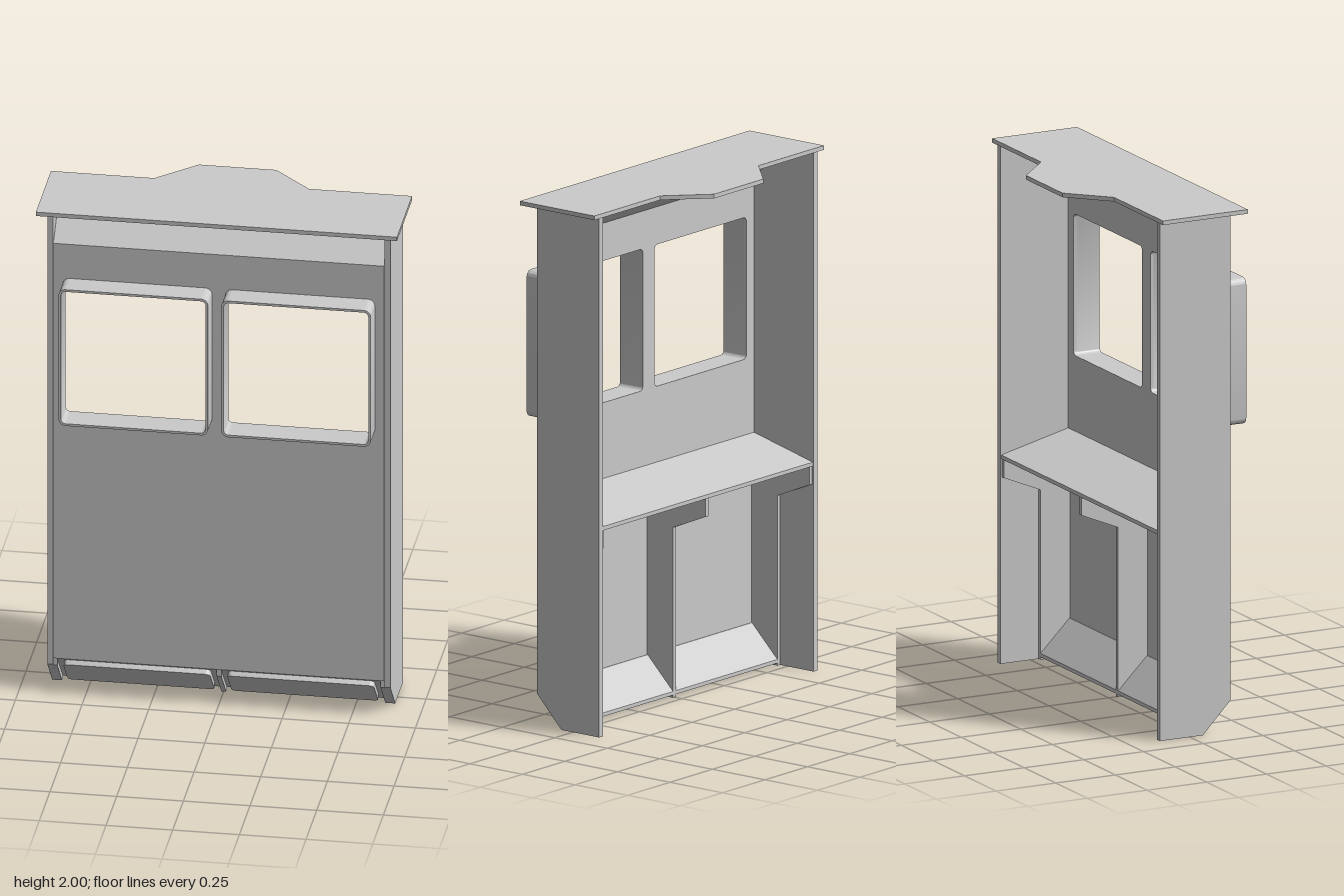
import * as THREE from 'three';
import { toCreasedNormals } from 'three/addons/utils/BufferGeometryUtils.js';

const material = new THREE.MeshStandardMaterial({ color: 0xcccccc });

function polygon(points) {
  return new THREE.Shape(points.map(([a, b]) => new THREE.Vector2(a, b)));
}

function roundedRect(target, cx, cy, w, h, r) {
  const x = w / 2 - r, y = h / 2 - r;
  target.absarc(cx + x, cy + y, r, 0, Math.PI / 2);
  target.absarc(cx - x, cy + y, r, Math.PI / 2, Math.PI);
  target.absarc(cx - x, cy - y, r, Math.PI, Math.PI * 1.5);
  target.absarc(cx + x, cy - y, r, Math.PI * 1.5, Math.PI * 2);
  target.closePath();
  return target;
}

function extrude(shape, depth) {
  return new THREE.ExtrudeGeometry(shape, { depth, bevelEnabled: false, curveSegments: 6 });
}

export function createModel() {
  const model = new THREE.Group();

  const add = (name, geometry) => {
    const mesh = new THREE.Mesh(geometry, material);
    mesh.name = name;
    model.add(mesh);
    return mesh;
  };

  // A (z, y) profile swept along x, centred on cx
  const slab = (name, points, cx, width) => {
    const geometry = extrude(polygon(points), width);
    geometry.rotateY(-Math.PI / 2);
    geometry.translate(cx + width / 2, 0, 0);
    return add(name, geometry);
  };

  const winX = 0.305, winY = 1.43, winW = 0.56, winH = 0.56, wall = 0.009;

  // Front panel with two window openings
  const panel = polygon([[-0.62, 0.145], [0.62, 0.145], [0.62, 1.85], [-0.62, 1.85]]);
  for (const s of [-1, 1]) {
    panel.holes.push(roundedRect(new THREE.Path(), s * winX, winY, winW - 2 * wall, winH - 2 * wall, 0.018));
  }
  const panelGeometry = extrude(panel, 0.012);
  panelGeometry.translate(0, 0, 0.158);
  add('frontPanel', panelGeometry);

  // Sloping panel between the front and the top
  slab('upperSlope', [[0.17, 1.85], [0.035, 1.985], [0.018, 1.985], [0.158, 1.845]], 0, 1.24);

  // Top board with a stepped-out rear edge
  const top = extrude(polygon([
    [-0.677, -0.225], [0.677, -0.225], [0.677, 0.13], [0.29, 0.13],
    [0.145, 0.27], [-0.145, 0.27], [-0.29, 0.13], [-0.677, 0.13],
  ]), 0.016);
  top.rotateX(-Math.PI / 2);
  top.translate(0, 1.984, 0);
  add('topBoard', top);

  // Tilted shelf
  slab('shelf', [[-0.122, 0.785], [0.16, 0.855], [0.16, 0.87], [-0.122, 0.8]], 0, 1.24);

  // Upright brackets under the shelf
  const bracket = [
    [-0.118, 0.787], [-0.118, 0.715], [0.035, 0.65], [0.035, 0],
    [0.055, 0], [0.165, 0.115], [0.165, 0.15], [0.158, 0.15], [0.158, 0.855],
  ];
  slab('middleBracket', bracket, 0, 0.018);

  for (const s of [-1, 1]) {
    const side = s > 0 ? 'left' : 'right';

    // Side wall with the lower front corner cut off
    slab(side + 'Wall',
      [[-0.125, 0], [0.055, 0], [0.17, 0.12], [0.17, 1.985], [-0.125, 1.985]], s * 0.632, 0.022);
    slab(side + 'Bracket', bracket, s * 0.6135, 0.015);

    // Protruding window frame
    const ring = roundedRect(new THREE.Shape(), s * winX, winY, winW, winH, 0.026);
    ring.holes.push(roundedRect(new THREE.Path(), s * winX, winY, winW - 2 * wall, winH - 2 * wall, 0.018));
    const frame = extrude(ring, 0.105);
    frame.translate(0, 0, 0.162);
    add(side + 'WindowFrame', toCreasedNormals(frame, 0.6));

    // Sloping kick panel with a raised pad
    slab(side + 'KickPanel',
      [[0.17, 0.145], [0.156, 0.145], [0.035, 0.024], [0.035, 0.01]], s * 0.3075, 0.597);
    const pad = extrude(roundedRect(new THREE.Shape(), 0, 0, 0.55, 0.163, 0.018), 0.02);
    const padMesh = add(side + 'KickPad', toCreasedNormals(pad, 0.6));
    padMesh.position.set(s * 0.307, 0.0825, 0.1075);
    padMesh.rotation.x = Math.PI / 4;
  }

  return model;
}
